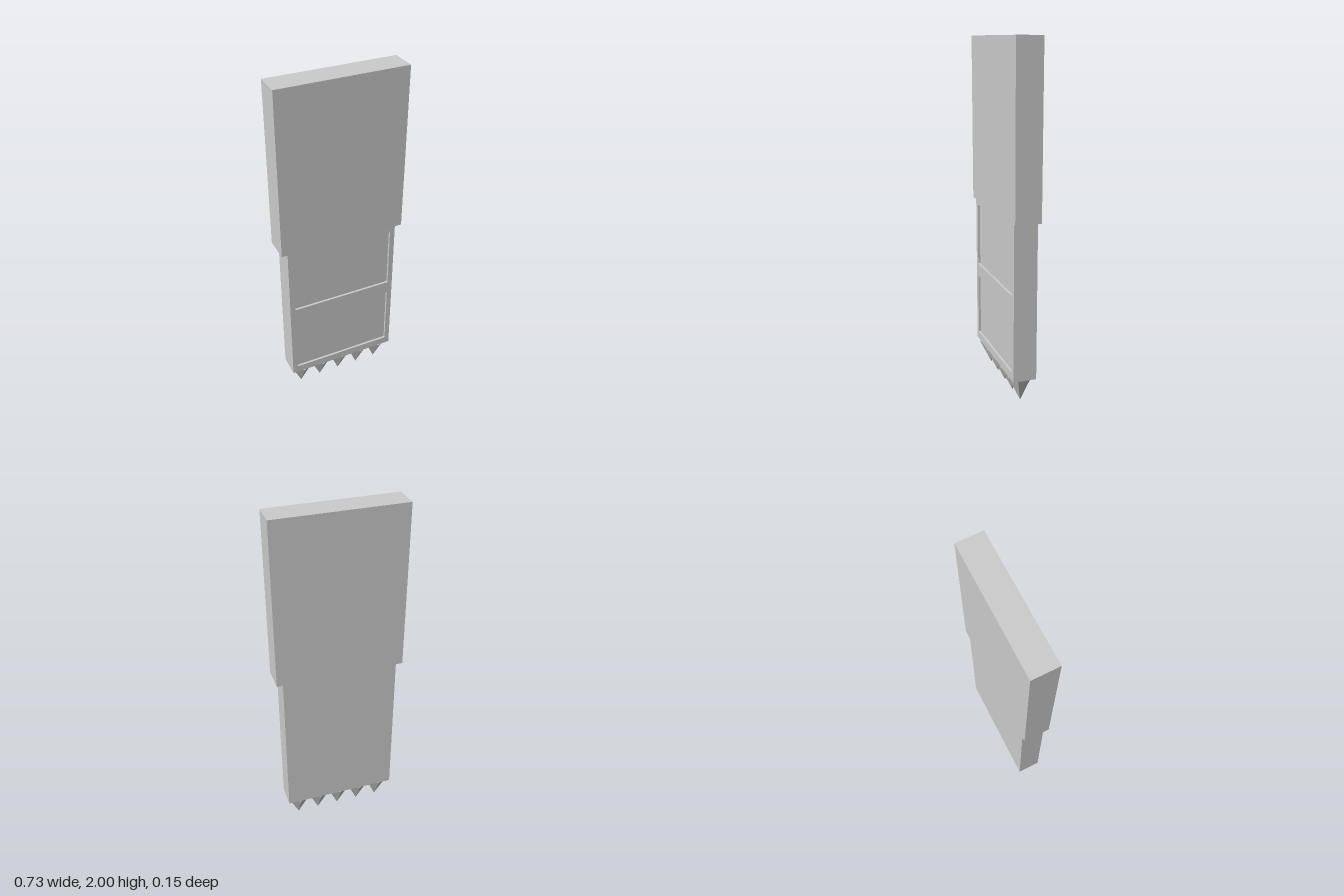
import * as THREE from 'three';

// Rectangle with softly rounded corners, centred on x = 0
function roundedRect(path, hw, y0, y1, r) {
  path.moveTo(-hw + r, y0);
  path.lineTo(hw - r, y0);
  path.quadraticCurveTo(hw, y0, hw, y0 + r);
  path.lineTo(hw, y1 - r);
  path.quadraticCurveTo(hw, y1, hw - r, y1);
  path.lineTo(-hw + r, y1);
  path.quadraticCurveTo(-hw, y1, -hw, y1 - r);
  path.lineTo(-hw, y0 + r);
  path.quadraticCurveTo(-hw, y0, -hw + r, y0);
  return path;
}

export function createModel() {
  const model = new THREE.Group();
  const grey = new THREE.MeshStandardMaterial({ color: 0xcccccc });
  grey.name = 'lightGrey';
  grey.flatShading = true;

  const add = (name, geometry, x, y, z, parent = model) => {
    const mesh = new THREE.Mesh(geometry, grey);
    mesh.name = name;
    mesh.position.set(x, y, z);
    parent.add(mesh);
    return mesh;
  };

  // Wide upper block
  add('upperBlock', new THREE.BoxGeometry(0.732, 0.95, 0.148), 0, 1.525, 0);

  // Narrower lower panel: solid back with a framed front
  const bottom = 0.15, top = 1.05, halfWidth = 0.33, halfDepth = 0.067, recess = 0.013;
  const panel = new THREE.Group();
  panel.name = 'lowerPanel';
  model.add(panel);
  add('panelBack', new THREE.BoxGeometry(halfWidth * 2, top - bottom, halfDepth * 2 - recess),
    0, (top + bottom) / 2, -recess / 2, panel);

  // Front frame with two shallow recesses
  const frame = new THREE.Shape();
  frame.moveTo(-halfWidth, bottom);
  frame.lineTo(halfWidth, bottom);
  frame.lineTo(halfWidth, top);
  frame.lineTo(-halfWidth, top);
  frame.closePath();
  for (const y of [0.195, 0.645]) {
    frame.holes.push(roundedRect(new THREE.Path(), 0.3, y, y + 0.372, 0.006));
  }
  add('panelFrame', new THREE.ExtrudeGeometry(frame, { depth: recess, bevelEnabled: false, curveSegments: 3 }),
    0, 0, halfDepth - recess, panel);

  // Row of six-sided spikes pointing down
  const spikes = new THREE.Group();
  spikes.name = 'spikes';
  model.add(spikes);
  const spikeGeometry = new THREE.CylinderGeometry(0.073, 0, 0.15, 6);
  for (let i = -2; i <= 2; i++) {
    add('spike', spikeGeometry, i * 0.128, 0.075, 0, spikes);
  }

  return model;
}
